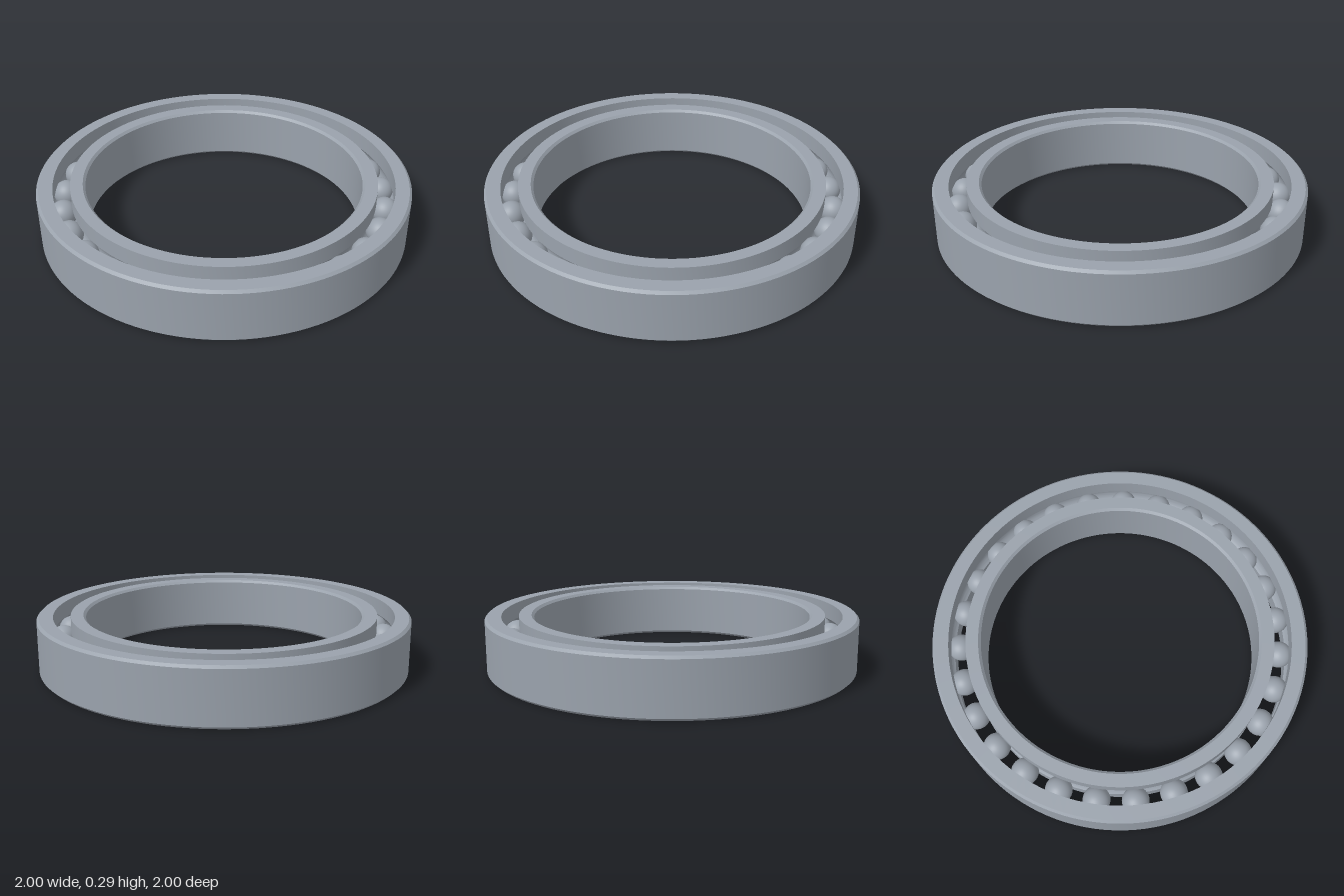
import * as THREE from 'three';
import { toCreasedNormals } from 'three/addons/utils/BufferGeometryUtils.js';

const HEIGHT = 0.295;
const MID = HEIGHT / 2;
const PITCH = 0.869;      // radius of the circle of ball centres
const BALL = 0.072;
const GROOVE = 0.074;
const CHAMFER = 0.013;
const BALL_COUNT = 27;

// Arc of the ball groove cut into the wall at radius r, from start side to the other
function grooveArc(r, upwards) {
  const dx = r - PITCH;
  const half = Math.acos(Math.abs(dx) / GROOVE);
  const side = Math.sign(dx);
  const points = [];
  for (let i = 0; i <= 16; i++) {
    const a = (i / 8 - 1) * half * (upwards ? 1 : -1);
    points.push([PITCH + side * Math.cos(a) * GROOVE, MID + Math.sin(a) * GROOVE]);
  }
  return points;
}

// Lathes a closed counter-clockwise profile with crisp edges
function ring(name, profile, material) {
  const points = [...profile, profile[0]].map(([x, y]) => new THREE.Vector2(x, y));
  const geometry = toCreasedNormals(new THREE.LatheGeometry(points, 120), 0.5);
  const mesh = new THREE.Mesh(geometry, material);
  mesh.name = name;
  return mesh;
}

export function createModel() {
  const model = new THREE.Group();
  model.name = 'ballBearing';
  const steel = new THREE.MeshStandardMaterial({ color: 0x9aa2ac });
  steel.name = 'steel';

  // Outer ring: chamfered outside, groove on its inner wall
  const outerR = 1, outerWall = 0.914;
  model.add(ring('outerRing', [
    [outerWall, 0],
    [outerR - CHAMFER, 0], [outerR, CHAMFER],
    [outerR, HEIGHT - CHAMFER], [outerR - CHAMFER, HEIGHT],
    [outerWall, HEIGHT],
    ...grooveArc(outerWall, false),
  ], steel));

  // Inner ring: chamfered bore, groove on its outer wall
  const bore = 0.743, innerWall = 0.823;
  model.add(ring('innerRing', [
    [bore + CHAMFER, 0],
    [innerWall, 0],
    ...grooveArc(innerWall, true),
    [innerWall, HEIGHT],
    [bore + CHAMFER, HEIGHT], [bore, HEIGHT - CHAMFER],
    [bore, CHAMFER],
  ], steel));

  // Balls evenly spaced between the rings
  const balls = new THREE.Group();
  balls.name = 'balls';
  const ballGeometry = new THREE.SphereGeometry(BALL, 32, 20);
  for (let i = 0; i < BALL_COUNT; i++) {
    const angle = (i / BALL_COUNT) * Math.PI * 2 - 0.026;
    const ball = new THREE.Mesh(ballGeometry, steel);
    ball.name = 'ball';
    ball.position.set(Math.cos(angle) * PITCH, MID, Math.sin(angle) * PITCH);
    balls.add(ball);
  }
  model.add(balls);
  return model;
}
